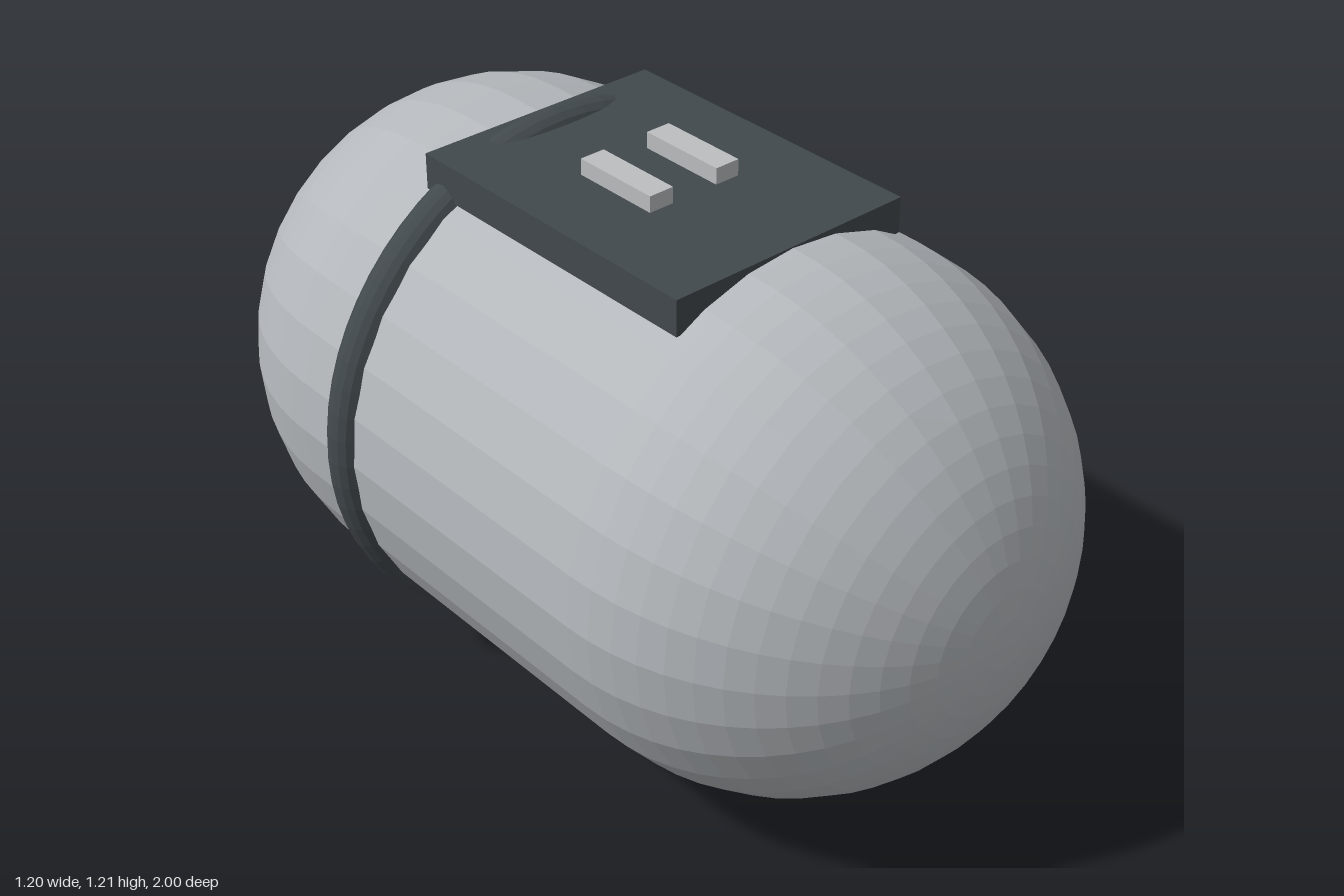
import * as THREE from 'three';

const CENTER_Y = 0.603;

export function createModel() {
  const material = (name, color, flatShading = true) => {
    const m = new THREE.MeshStandardMaterial({ color, flatShading });
    m.name = name;
    return m;
  };
  const shell = material('light grey shell', 0xb4b8bc);
  const dark = material('dark slate', 0x42494d);
  const pale = material('pale grey', 0xbcbec0);

  const model = new THREE.Group();
  model.name = 'capsuleTank';
  const add = (name, geometry, mat, x, y, z) => {
    const mesh = new THREE.Mesh(geometry, mat);
    mesh.name = name;
    mesh.position.set(x, y, z);
    model.add(mesh);
    return mesh;
  };

  // Faceted capsule lying along z
  const body = new THREE.CapsuleGeometry(0.575, 0.85, 16, 32);
  body.rotateX(Math.PI / 2);
  add('body', body, shell, 0, CENTER_Y, 0);

  // Ring wrapped around the rear half
  add('band', new THREE.TorusGeometry(0.555, 0.046, 16, 64), dark, 0, CENTER_Y, -0.29);

  // Flat mounting plate on top, carrying two raised bars
  add('topPlate', new THREE.BoxGeometry(0.576, 0.078, 0.744), dark, 0, 1.142, 0.032);
  for (const side of [-1, 1]) {
    add(side > 0 ? 'leftBar' : 'rightBar',
      new THREE.BoxGeometry(0.058, 0.045, 0.203), pale, side * 0.085, 1.194, 0.033);
  }

  return model;
}
